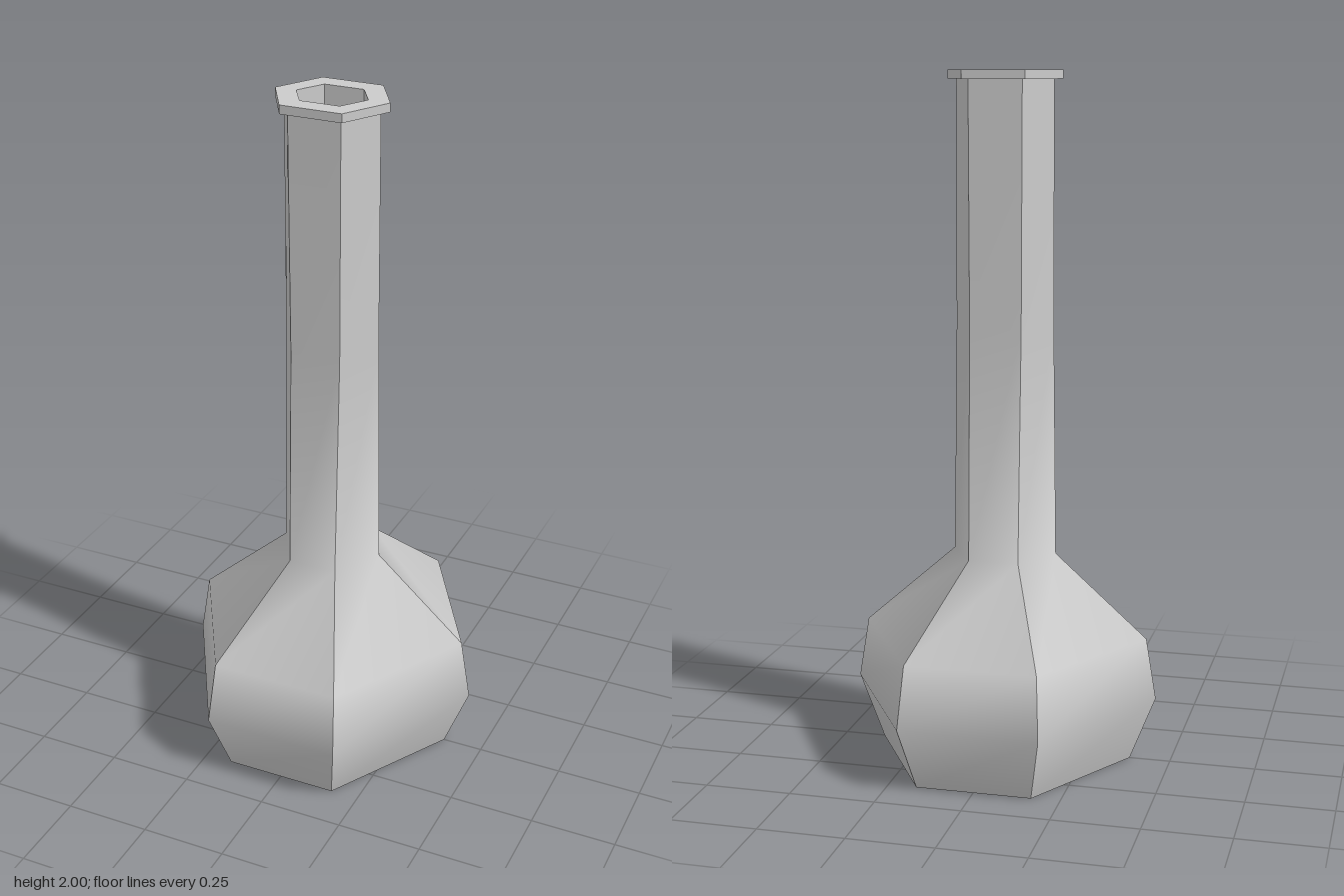
import * as THREE from 'three';
import { mergeGeometries } from 'three/addons/utils/BufferGeometryUtils.js';

// Cross-sections: [height, side corner x, front corner x, front corner z]
const BODY = [
  [0, 0.38, 0.167, 0.37],
  [0.19, 0.455, 0.202, 0.438],
  [0.37, 0.425, 0.19, 0.405],
  [0.61, 0.153, 0.073, 0.14],
  [1.28, 0.144, 0.075, 0.113],
  [1.975, 0.142, 0.077, 0.113],
];
const RIM_LOW = [1.975, 0.168, 0.09, 0.136];
const RIM_TOP = [2, 0.168, 0.09, 0.136];
const BORE_TOP = [2, 0.105, 0.058, 0.079];
const BORE_END = [0.62, 0.105, 0.058, 0.079];
const centre = (y) => [y, 0, 0, 0];

// Six corners of a section, counter-clockwise seen from above
function corners([y, sx, cx, cz]) {
  return [[sx, y, 0], [cx, y, -cz], [-cx, y, -cz], [-sx, y, 0], [-cx, y, cz], [cx, y, cz]];
}

// Six facets through the sections, smooth along the profile, sharp at the corners
function loft(sections) {
  const rings = sections.map(corners);
  const facets = [];
  for (let i = 0; i < 6; i++) {
    const positions = [];
    const index = [];
    rings.forEach((ring, k) => {
      positions.push(...ring[i], ...ring[(i + 1) % 6]);
      if (k === 0) return;
      const a = 2 * (k - 1);
      index.push(a, a + 1, a + 3, a, a + 3, a + 2);
    });
    const facet = new THREE.BufferGeometry();
    facet.setAttribute('position', new THREE.Float32BufferAttribute(positions, 3));
    facet.setIndex(index);
    facet.computeVertexNormals();
    facets.push(facet);
  }
  return mergeGeometries(facets);
}

export function createModel() {
  const material = new THREE.MeshStandardMaterial({ color: 0xcccccc });
  const group = new THREE.Group();
  group.name = 'bottle';

  // Each part is a list of profile runs with a sharp edge between runs
  const parts = {
    base: [[centre(0), BODY[0]]],
    bodyAndNeck: [BODY],
    rim: [[BODY[5], RIM_LOW], [RIM_LOW, RIM_TOP], [RIM_TOP, BORE_TOP]],
    bore: [[BORE_TOP, BORE_END], [BORE_END, centre(0.62)]],
  };
  for (const [name, runs] of Object.entries(parts)) {
    const mesh = new THREE.Mesh(mergeGeometries(runs.map(loft)), material);
    mesh.name = name;
    group.add(mesh);
  }
  return group;
}
